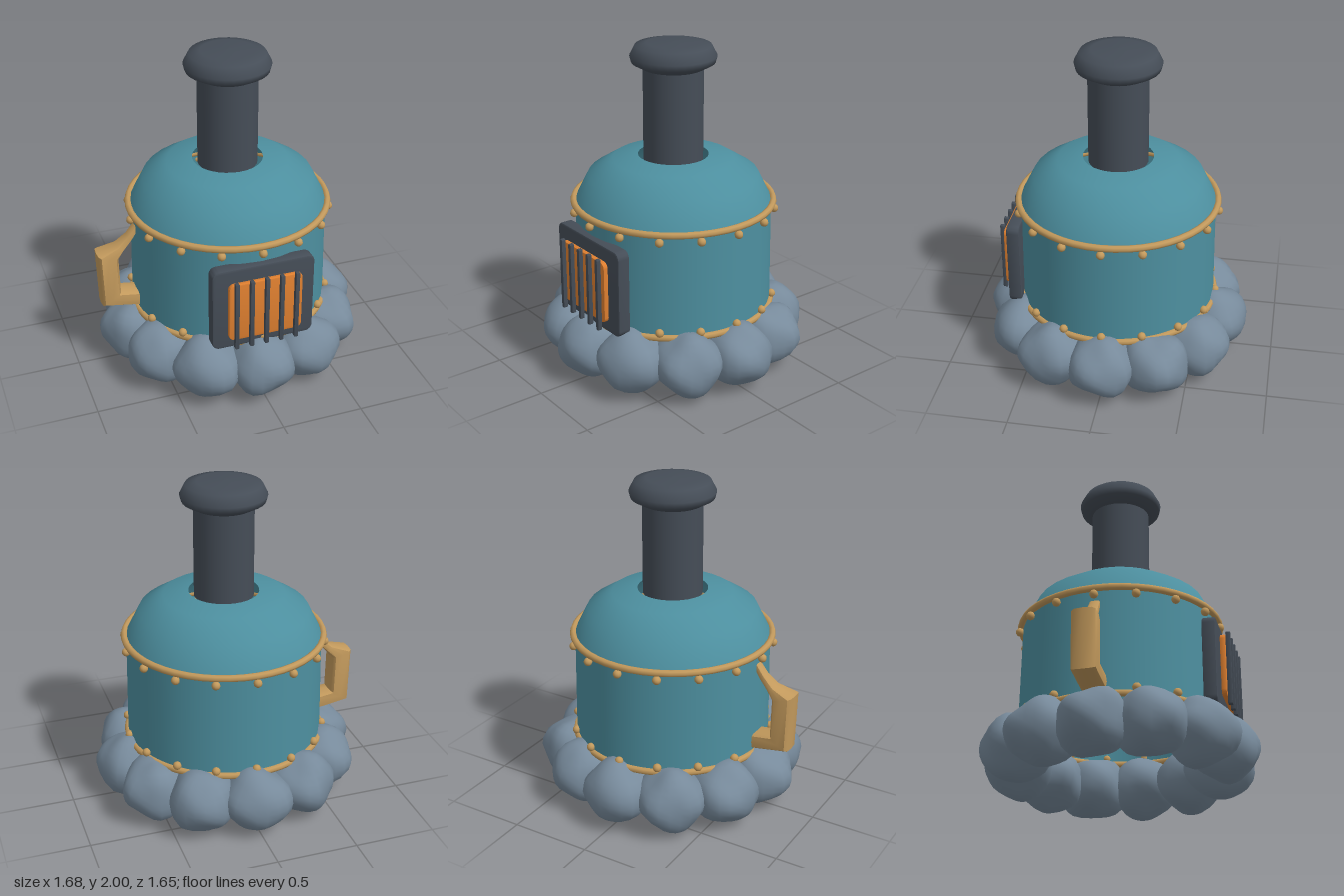
import * as THREE from 'three';
import { mergeVertices, toCreasedNormals } from 'three/addons/utils/BufferGeometryUtils.js';

const material = (color, side = THREE.FrontSide) => {
  const m = new THREE.MeshStandardMaterial({ side });
  m.color.set(color);
  return m;
};
const teal = material(0x4d8f9f, THREE.DoubleSide);
const iron = material(0x454d57);
const brass = material(0xc2995c);
const ember = material(0xe08030);
const smoke = material(0x778a9b);

const v2 = (pairs) => pairs.map(([x, y]) => new THREE.Vector2(x, y));

function add(parent, name, geometry, mat, x = 0, y = 0, z = 0) {
  const mesh = new THREE.Mesh(geometry, mat);
  mesh.name = name;
  mesh.position.set(x, y, z);
  parent.add(mesh);
  return mesh;
}

// Upright plate with rounded corners, extruded along z from its back face
function roundedPlate(w, h, depth, r, bevel) {
  const a = w / 2 - bevel, b = h / 2 - bevel;
  const s = new THREE.Shape();
  s.moveTo(-a + r, -b);
  s.lineTo(a - r, -b).absarc(a - r, -b + r, r, -Math.PI / 2, 0);
  s.lineTo(a, b - r).absarc(a - r, b - r, r, 0, Math.PI / 2);
  s.lineTo(-a + r, b).absarc(-a + r, b - r, r, Math.PI / 2, Math.PI);
  s.lineTo(-a, -b + r).absarc(-a + r, -b + r, r, Math.PI, Math.PI * 1.5);
  const g = new THREE.ExtrudeGeometry(s, {
    depth: depth - 2 * bevel, bevelThickness: bevel, bevelSize: bevel, bevelSegments: 2, curveSegments: 4,
  });
  g.translate(0, 0, bevel);
  return toCreasedNormals(g, 0.6);
}

// Lumpy ball of smoke; the phase makes every puff different
function puffGeometry(phase) {
  let g = new THREE.SphereGeometry(1, 20, 14);
  g.deleteAttribute('uv');
  g.deleteAttribute('normal');
  g = mergeVertices(g, 1e-4);
  const p = g.attributes.position, v = new THREE.Vector3();
  for (let i = 0; i < p.count; i++) {
    v.fromBufferAttribute(p, i);
    const lump = Math.sin(4.1 * v.x + phase) * Math.sin(3.7 * v.y + 1.7 * phase)
      + Math.sin(4.6 * v.z + 2.3 * phase) * Math.cos(3.2 * v.x - phase);
    v.multiplyScalar(1 + 0.06 * lump);
    p.setXYZ(i, v.x, v.y, v.z);
  }
  g.computeVertexNormals();
  return g;
}

// Handle lofted through sections: outer x, y, inner x, y, half width
function handleGeometry() {
  const sections = [
    [-0.57, 0.99, -0.57, 0.93, 0.03],
    [-0.65, 0.885, -0.625, 0.85, 0.035],
    [-0.72, 0.825, -0.675, 0.8, 0.05],
    [-0.845, 0.79, -0.715, 0.75, 0.075],
    [-0.835, 0.43, -0.71, 0.51, 0.075],
    [-0.57, 0.385, -0.57, 0.49, 0.075],
  ];
  const n = 12, pos = [], idx = [];
  const soft = (t) => Math.sign(t) * Math.pow(Math.abs(t), 0.5);
  for (const [ox, oy, ix, iy, hw] of sections) {
    for (let k = 0; k < n; k++) {
      const a = (k / n) * Math.PI * 2, t = (1 + soft(Math.cos(a))) / 2;
      pos.push(ix + (ox - ix) * t, iy + (oy - iy) * t, hw * soft(Math.sin(a)));
    }
  }
  for (let s = 0; s < sections.length - 1; s++) {
    for (let k = 0; k < n; k++) {
      const a = s * n + k, b = s * n + (k + 1) % n;
      idx.push(a, a + n, b, b, a + n, b + n);
    }
  }
  const g = new THREE.BufferGeometry();
  g.setAttribute('position', new THREE.Float32BufferAttribute(pos, 3));
  g.setIndex(idx);
  return toCreasedNormals(g, 0.7);
}

export function createModel() {
  const model = new THREE.Group();
  model.name = 'steamBoiler';

  // Boiler shell, open underneath, and its dome with a hole for the chimney
  add(model, 'boiler', new THREE.CylinderGeometry(0.6, 0.61, 0.67, 32, 1, true), teal, 0, 0.695, 0);
  add(model, 'dome', new THREE.LatheGeometry(v2([
    [0.6, 1.03], [0.52, 1.19], [0.37, 1.285], [0.215, 1.308],
  ]), 32), teal);

  // Chimney pipe and flared cap
  add(model, 'chimney', new THREE.CylinderGeometry(0.182, 0.182, 0.6, 32), iron, 0, 1.58, 0);
  add(model, 'chimneyCap', new THREE.LatheGeometry(v2([
    [0, 1.84], [0.18, 1.842], [0.25, 1.88], [0.26, 1.918], [0.228, 1.98], [0.16, 1.995], [0, 2],
  ]), 32), iron);

  // Brass hoops, each with a row of rivets
  const rivet = new THREE.SphereGeometry(0.026, 10, 8);
  for (const [name, hoopY, rivetY] of [['upper', 1.025, 0.982], ['lower', 0.37, 0.405]]) {
    const hoop = new THREE.TorusGeometry(0.612, 0.021, 8, 48);
    hoop.rotateX(Math.PI / 2);
    add(model, name + 'Hoop', hoop, brass, 0, hoopY, 0);
    for (let i = 0; i < 16; i++) {
      const a = (i / 16) * Math.PI * 2;
      add(model, name + 'Rivet', rivet, brass, Math.sin(a) * 0.62, rivetY, Math.cos(a) * 0.62);
    }
  }

  // Fire door: iron plate, glowing panel and grate bars
  const door = new THREE.Group();
  door.name = 'fireDoor';
  model.add(door);
  add(door, 'doorPlate', roundedPlate(0.635, 0.54, 0.08, 0.035, 0.01), iron, 0, 0.65, 0.56);
  add(door, 'glowPanel', roundedPlate(0.455, 0.385, 0.03, 0.03, 0.005), ember, 0, 0.647, 0.65);
  for (let i = -2; i <= 2; i++) {
    add(door, 'grateBar', roundedPlate(0.026, 0.455, 0.028, 0.004, 0.004), iron, i * 0.093, 0.633, 0.68);
  }

  add(model, 'handle', handleGeometry(), brass);

  // Ring of smoke puffs around the foot
  for (let i = 0; i < 12; i++) {
    const a = (i / 12) * Math.PI * 2;
    const puff = add(model, 'smokePuff', puffGeometry(i * 1.9 + 0.4), smoke,
      Math.sin(a) * 0.622, 0.205, Math.cos(a) * 0.622);
    puff.scale.set(0.21, 0.192, 0.21);
    puff.rotation.y = a;
  }
  return model;
}
